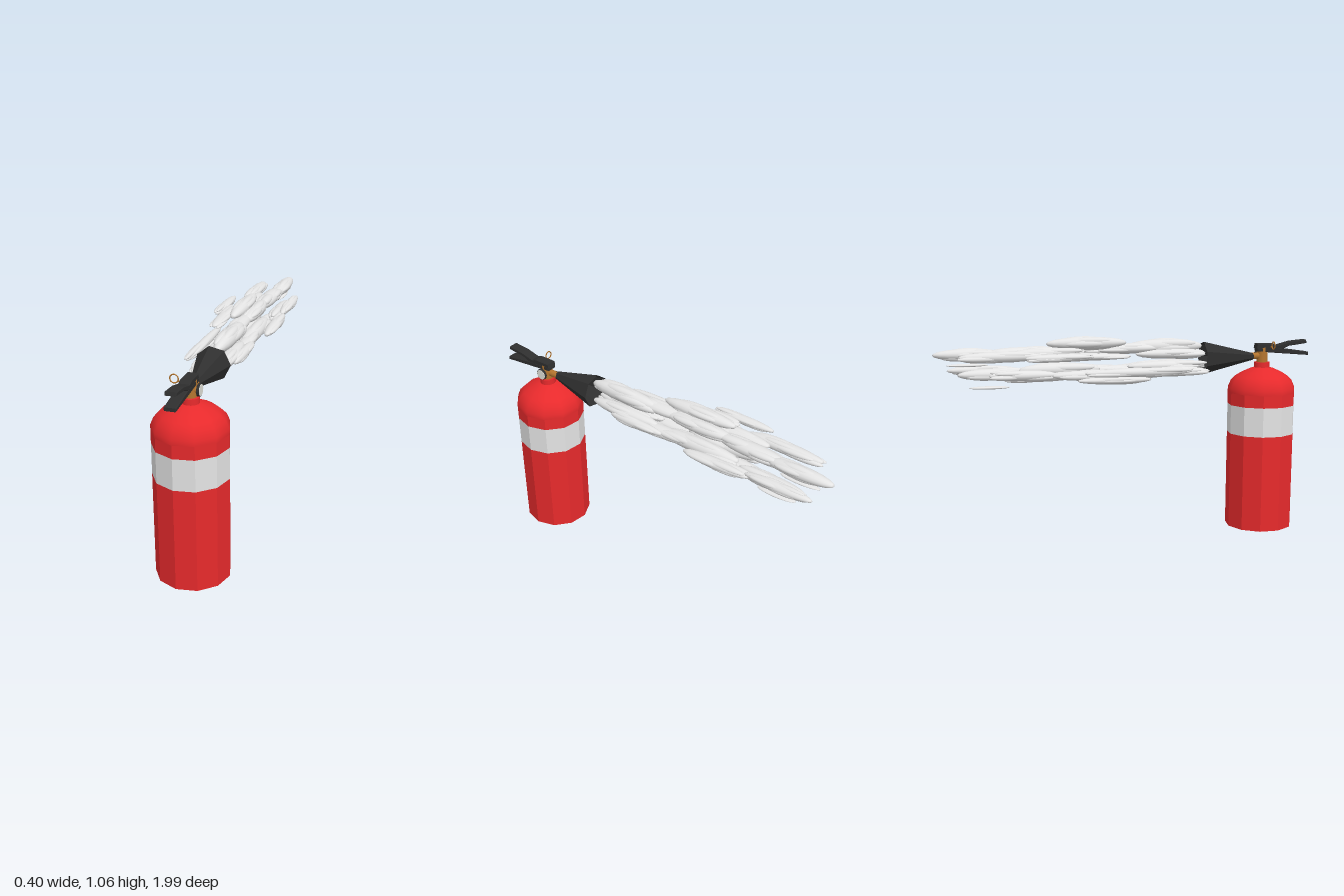
import * as THREE from 'three';
import { toCreasedNormals, mergeGeometries } from 'three/addons/utils/BufferGeometryUtils.js';

const mat = (name, color, extra = {}) => {
  const m = new THREE.MeshStandardMaterial({ color, ...extra });
  m.name = name;
  return m;
};

export function createModel() {
  const red = mat('red paint', 0xe82a2c);
  const silver = mat('pale label', 0xe4e4e4);
  const black = mat('black rubber', 0x2f2f2f, { flatShading: true, side: THREE.DoubleSide });
  const brass = mat('brass', 0xb5762f);
  const white = mat('gauge white', 0xe4e4dc);
  const smoke = mat('smoke grey', 0xe4e4e4);

  const model = new THREE.Group();
  const CX = 0.02, CZ = 0.745;
  const add = (name, geometry, material, x = 0, y = 0, z = 0, parent = model) => {
    const mesh = new THREE.Mesh(geometry, material);
    mesh.name = name;
    mesh.position.set(x, y, z);
    parent.add(mesh);
    return mesh;
  };

  // Tank: eleven-sided shell, flat walls below a smooth dome
  const R = 0.181;
  const shell = (points) => new THREE.LatheGeometry(
    points.map(([r, y]) => new THREE.Vector2(r, y)), 11, Math.PI / 2);
  const wall = (points) => toCreasedNormals(shell(points), Math.PI / 6);
  add('lowerTank', wall([[0, 0], [R, 0], [R, 0.515]]), red, CX, 0, CZ);
  add('labelBand', wall([[R, 0.515], [R, 0.67]]), silver, CX, 0, CZ);
  add('upperWall', wall([[R, 0.67], [R, 0.735]]), red, CX, 0, CZ);
  add('tankDome', shell([[R, 0.735], [R, 0.76], [0.165, 0.797], [0.14, 0.822],
    [0.105, 0.844], [0.06, 0.864], [0.042, 0.869]]), red, CX, 0, CZ);

  // Neck collar
  add('neck', new THREE.CylinderGeometry(0.041, 0.042, 0.035, 16), red, CX + 0.002, 0.879, CZ);

  // Valve and outlet
  add('valveBody', new THREE.CylinderGeometry(0.029, 0.029, 0.085, 14), brass, CX + 0.002, 0.932, CZ);
  add('outlet', new THREE.CylinderGeometry(0.018, 0.018, 0.07, 12).rotateX(Math.PI / 2), brass, CX, 0.93, 0.705);

  // Pressure gauge on the left side
  const gauge = new THREE.Group();
  gauge.name = 'pressureGauge';
  gauge.position.set(CX, 0.932, CZ);
  model.add(gauge);
  const disc = (r, length) => new THREE.CylinderGeometry(r, r, length, 14).rotateZ(-Math.PI / 2);
  add('gaugeStem', disc(0.016, 0.03), brass, 0.027, 0, 0, gauge);
  add('gaugeCase', disc(0.03, 0.012), black, 0.044, 0, 0, gauge);
  add('gaugeFace', disc(0.027, 0.004), white, 0.05, 0, 0, gauge);

  // Levers: side outlines given as [z, y], extruded across x
  const lever = (name, outline, width) => {
    const shape = new THREE.Shape(outline.map(([z, y]) => new THREE.Vector2(-z, y)));
    const g = new THREE.ExtrudeGeometry(shape, {
      depth: width - 0.008, bevelEnabled: true, bevelSize: 0.003, bevelOffset: -0.003,
      bevelThickness: 0.004, bevelSegments: 1 });
    g.translate(0, 0, -(width - 0.008) / 2).rotateY(Math.PI / 2);
    add(name, g, black, CX + 0.002, 0, 0);
  };
  lever('squeezeLever', [[0.99, 0.995], [0.985, 1.013], [0.9, 1.005], [0.825, 0.985],
    [0.8, 0.995], [0.71, 0.995], [0.705, 0.97], [0.84, 0.96], [0.89, 0.982]], 0.054);
  lever('carryHandle', [[1.0, 0.93], [1.0, 0.947], [0.84, 0.97], [0.71, 0.975],
    [0.71, 0.955], [0.83, 0.944]], 0.056);

  // Safety pin with pull ring
  add('pinRing', new THREE.TorusGeometry(0.02, 0.003, 6, 18), brass, -0.038, 0.988, 0.785);
  add('safetyPin', disc(0.004, 0.04), brass, 0.002, 0.978, 0.785);

  // Discharge horn: seven sides, open at the wide end
  add('horn', new THREE.CylinderGeometry(0.018, 0.087, 0.28, 7, 1, true, Math.PI / 2)
    .rotateX(Math.PI / 2), black, CX - 0.004, 0.928, 0.55);

  // Smoke: each row is a puff as x, y, z and its three radii
  const upperPuffs = [
    [0.03, 0.99, 0.2, 0.05, 0.045, 0.22], [0, 0.955, 0.23, 0.045, 0.03, 0.2],
    [0.015, 0.985, 0, 0.05, 0.03, 0.2], [-0.02, 1.02, -0.22, 0.045, 0.036, 0.22],
    [0.03, 0.985, -0.25, 0.05, 0.035, 0.2], [-0.17, 0.963, -0.38, 0.03, 0.022, 0.18],
    [-0.12, 0.96, -0.2, 0.04, 0.02, 0.2], [-0.085, 0.965, -0.66, 0.04, 0.03, 0.22],
    [-0.035, 0.975, -0.42, 0.045, 0.03, 0.2], [0.03, 0.97, -0.55, 0.05, 0.036, 0.19],
    [0.045, 0.968, -0.81, 0.045, 0.034, 0.19],
  ];
  const lowerPuffs = [
    [-0.085, 0.87, 0.2, 0.04, 0.028, 0.23], [-0.02, 0.895, 0.2, 0.045, 0.03, 0.22],
    [0.035, 0.89, 0.2, 0.045, 0.035, 0.22], [0.075, 0.88, 0.1, 0.03, 0.027, 0.17],
    [-0.16, 0.88, 0.02, 0.028, 0.024, 0.29], [-0.15, 0.843, -0.1, 0.035, 0.022, 0.2],
    [-0.05, 0.86, -0.02, 0.05, 0.032, 0.22], [0.04, 0.87, -0.04, 0.045, 0.032, 0.2],
    [-0.1, 0.865, -0.22, 0.04, 0.03, 0.2], [0.03, 0.87, -0.25, 0.05, 0.042, 0.25],
    [0.02, 0.848, -0.45, 0.045, 0.027, 0.2], [-0.03, 0.89, -0.36, 0.05, 0.04, 0.22],
    [-0.08, 0.87, -0.55, 0.042, 0.03, 0.18], [0.105, 0.87, -0.4, 0.037, 0.027, 0.2],
    [0.06, 0.862, -0.68, 0.045, 0.034, 0.2], [0.1, 0.882, -0.74, 0.034, 0.026, 0.19],
    [0.05, 0.797, -0.71, 0.028, 0.009, 0.11], [0.04, 0.915, -0.82, 0.025, 0.009, 0.11],
  ];
  let seed = 7;
  const rand = () => {
    seed = (seed * 16807) % 2147483647;
    return seed / 2147483647;
  };
  const ball = (x, y, z, rx, ry, rz) =>
    new THREE.SphereGeometry(1, 16, 10).rotateX(Math.PI / 2).scale(rx, ry, rz).translate(x, y, z);
  const cloud = (name, rows) => {
    const parts = [];
    for (const [x, y, z, rx, ry, rz] of rows) {
      parts.push(ball(x, y, z, rx * 0.9, ry * 0.9, rz * 0.95));
      if (ry < 0.01) continue;
      // smaller puffs crowd round the main one
      for (let i = 0; i < 6; i++) {
        const a = (i / 6) * Math.PI * 2 + rand() * 0.7;
        const s = 0.42 + rand() * 0.15;
        parts.push(ball(x + Math.cos(a) * rx * (1 - s), y + Math.sin(a) * ry * (1 - s),
          z + (rand() * 2 - 1) * rz * (1 - s), rx * s, ry * s, rz * s));
      }
    }
    add(name, mergeGeometries(parts), smoke);
  };
  cloud('upperSmoke', upperPuffs);
  cloud('lowerSmoke', lowerPuffs);

  return model;
}
